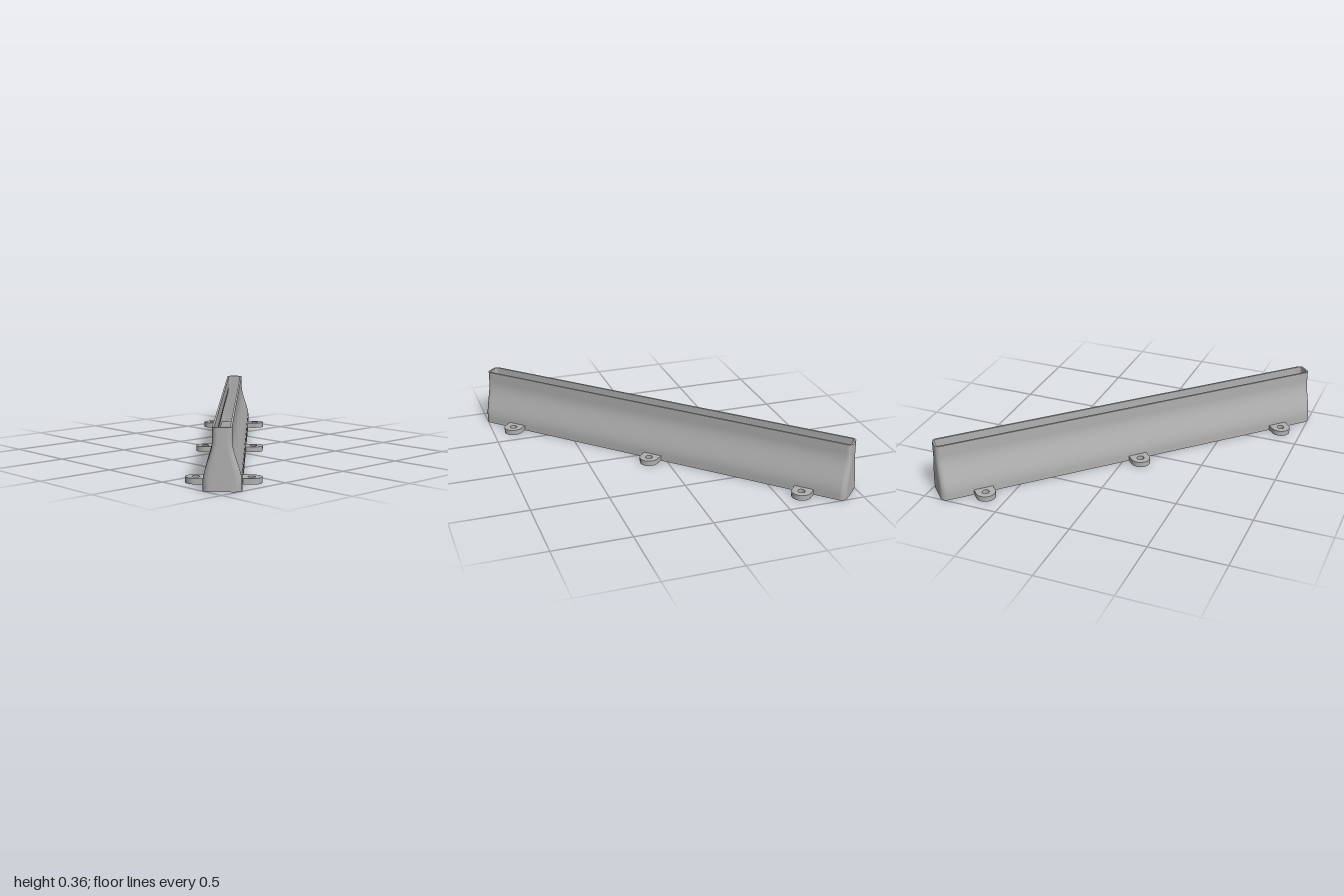
import * as THREE from 'three';

const HALF_LENGTH = 1.328, HEIGHT = 0.36, WALL = 0.012;

// Rounded rectangle ring at height y; inset shrinks it for the inner wall
function ring(y, inset) {
  const t = THREE.MathUtils.smoothstep(y, 0.04, 0.29);
  const w = THREE.MathUtils.lerp(0.11, 0.055, t) - inset;
  const r = THREE.MathUtils.lerp(0.04, 0.03, t) - inset;
  const l = HALF_LENGTH - inset;
  const corners = [[1, 1], [-1, 1], [-1, -1], [1, -1]];
  const points = [];
  corners.forEach(([sx, sz], k) => {
    for (let i = 0; i <= 6; i++) {
      const a = (k + i / 6) * Math.PI / 2;
      points.push([sx * (l - r) + r * Math.cos(a), y, sz * (w - r) + r * Math.sin(a)]);
    }
  });
  return points;
}

// Skin a stack of rings
function loft(rings) {
  const n = rings[0].length, index = [];
  for (let j = 0; j < rings.length - 1; j++) {
    for (let i = 0; i < n; i++) {
      const a = j * n + i, b = j * n + (i + 1) % n;
      index.push(a, a + n, b, b, a + n, b + n);
    }
  }
  const g = new THREE.BufferGeometry();
  g.setAttribute('position', new THREE.Float32BufferAttribute(rings.flat(2), 3));
  g.setIndex(index);
  g.computeVertexNormals();
  return g;
}

// Mounting tab with a round end and a screw hole, reaching towards -z
function tabGeometry() {
  const r = 0.062, reach = 0.16, root = 0.1;
  const shape = new THREE.Shape();
  shape.moveTo(-r, root);
  shape.lineTo(r, root);
  shape.lineTo(r, reach);
  shape.absarc(0, reach, r, 0, Math.PI, false);
  shape.closePath();
  shape.holes.push(new THREE.Path().absarc(0, reach, 0.023, 0, Math.PI * 2, true));
  return new THREE.ExtrudeGeometry(shape, { depth: 0.035, bevelEnabled: false, curveSegments: 20 })
    .rotateX(-Math.PI / 2);
}

export function createModel() {
  const grey = new THREE.MeshStandardMaterial({ color: 0xb0b0b0 });
  grey.name = 'grey plastic';
  const model = new THREE.Group();
  model.name = 'slotNozzle';

  const add = (name, geometry) => {
    const mesh = new THREE.Mesh(geometry, grey);
    mesh.name = name;
    model.add(mesh);
    return mesh;
  };

  // Hollow flared body, open at the top slot and at the base
  const heights = Array.from({ length: 19 }, (_, i) => HEIGHT * i / 18);
  add('outerWall', loft(heights.map(y => ring(y, 0))));
  add('innerWall', loft([...heights].reverse().map(y => ring(y, WALL))));
  add('slotRim', loft([ring(HEIGHT, 0), ring(HEIGHT, WALL)]));
  add('baseRim', loft([ring(0, WALL), ring(0, 0)]));

  // Three pairs of mounting tabs
  const tab = tabGeometry();
  for (const x of [-1.06, 0, 1.06]) {
    for (const turn of [0, Math.PI]) {
      const mesh = add('mountingTab', tab);
      mesh.position.x = x;
      mesh.rotation.y = turn;
    }
  }

  // The body lies along the diagonal
  model.rotation.y = -Math.PI / 4;
  return model;
}
